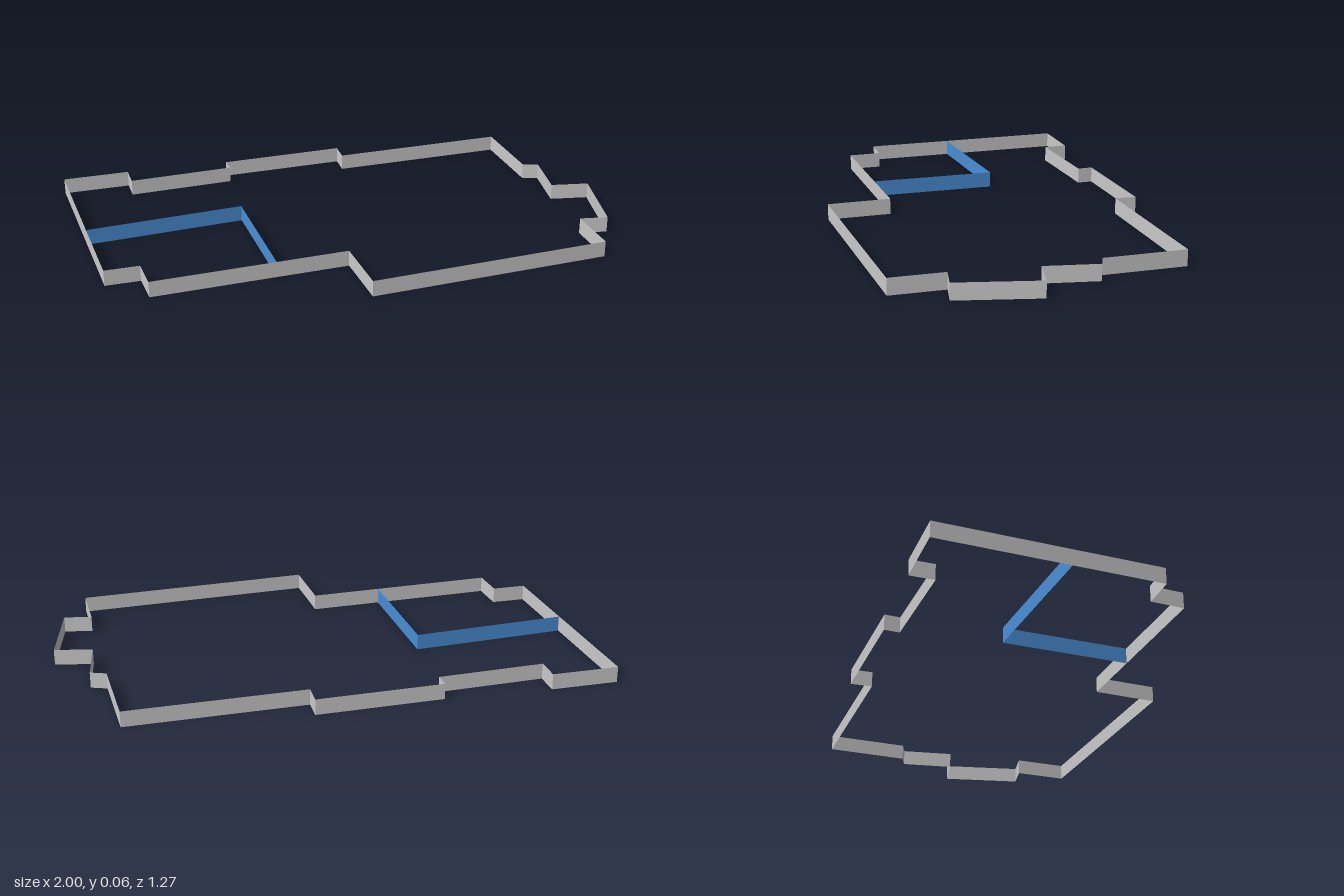
import * as THREE from 'three';

const HEIGHT = 0.062;

// Corners of the floor plan as [x, z]
const OUTLINE = [
  [-0.99, -0.637], [-0.73, -0.622], [-0.734, -0.527], [-0.32, -0.517],
  [-0.32, -0.577], [0.17, -0.557], [0.163, -0.473], [0.85, -0.442],
  [0.842, -0.122], [0.9, -0.096], [0.856, 0.107], [1, 0.144],
  [0.917, 0.449], [0.811, 0.423], [0.804, 0.63], [-0.123, 0.616],
  [-0.12, 0.367], [-0.868, 0.346], [-0.868, 0.215], [-1, 0.207],
];
const PARTITION = [[-0.994, -0.14], [-0.383, -0.14], [-0.397, 0.359]];

// One thin upright panel between each pair of neighbouring corners
function wallRun(name, points, closed, material) {
  const group = new THREE.Group();
  group.name = name;
  const count = closed ? points.length : points.length - 1;
  for (let i = 0; i < count; i++) {
    const [x0, z0] = points[i];
    const [x1, z1] = points[(i + 1) % points.length];
    const panel = new THREE.Mesh(
      new THREE.PlaneGeometry(Math.hypot(x1 - x0, z1 - z0), HEIGHT), material);
    panel.name = `${name}Panel${i + 1}`;
    panel.position.set((x0 + x1) / 2, HEIGHT / 2, (z0 + z1) / 2);
    // Turned so the front of the panel faces out of the plan
    panel.rotation.y = Math.atan2(z1 - z0, x0 - x1);
    group.add(panel);
  }
  return group;
}

export function createModel() {
  const grey = new THREE.MeshStandardMaterial({ color: 0xcccccc, side: THREE.DoubleSide });
  grey.name = 'wall grey';
  const blue = new THREE.MeshStandardMaterial({ color: 0x4a90d9, side: THREE.DoubleSide });
  blue.name = 'partition blue';

  const model = new THREE.Group();
  model.name = 'floorPlanWalls';
  model.add(wallRun('outerWall', OUTLINE, true, grey));
  model.add(wallRun('partitionWall', PARTITION, false, blue));
  return model;
}
